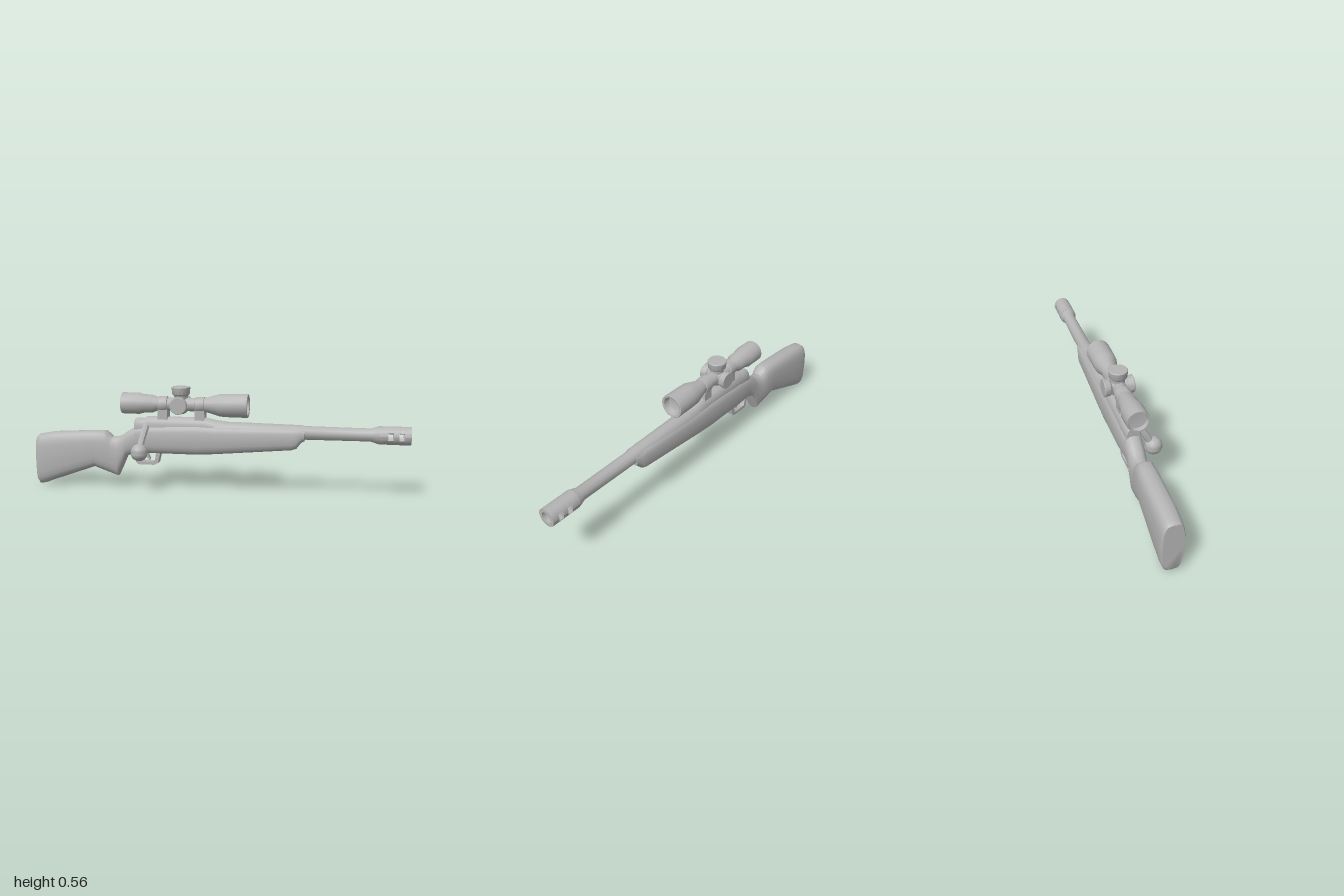
import * as THREE from 'three';
import { toCreasedNormals } from 'three/addons/utils/BufferGeometryUtils.js';

const AXIS_Z = -0.046; // centre plane of the long body

export function createModel() {
  const model = new THREE.Group();
  model.name = 'scopedRifle';
  const grey = new THREE.MeshStandardMaterial({ color: 0xb4b4b4, side: THREE.DoubleSide });
  grey.name = 'plain grey';

  function add(name, geometry, x = 0, y = 0, z = AXIS_Z, crease = 0.7) {
    const mesh = new THREE.Mesh(toCreasedNormals(geometry, crease), grey);
    mesh.name = name;
    mesh.position.set(x, y, z);
    model.add(mesh);
    return mesh;
  }

  // Skin over rounded cross-sections: [x, bottom, top, half width, squareness]
  function loft(sections, n = 20) {
    const pos = [], idx = [];
    for (const [x, lo, hi, w, k] of sections) {
      for (let i = 0; i < n; i++) {
        const a = (i / n) * Math.PI * 2, c = Math.cos(a), s = Math.sin(a);
        pos.push(x, (lo + hi) / 2 + Math.sign(s) * Math.abs(s) ** (2 / k) * (hi - lo) / 2,
          Math.sign(c) * Math.abs(c) ** (2 / k) * w);
      }
    }
    const last = (sections.length - 1) * n;
    for (let r = 0; r < last; r += n) {
      for (let i = 0; i < n; i++) {
        const j = (i + 1) % n;
        idx.push(r + i, r + n + i, r + j, r + j, r + n + i, r + n + j);
      }
    }
    for (let i = 1; i < n - 1; i++) idx.push(0, i, i + 1, last, last + i + 1, last + i);
    const g = new THREE.BufferGeometry();
    g.setAttribute('position', new THREE.Float32BufferAttribute(pos, 3));
    g.setIndex(idx);
    return g;
  }

  // Turned part along x from [x, radius] pairs
  const turned = (profile, sides = 14) => new THREE.LatheGeometry(
    profile.map(([x, r]) => new THREE.Vector2(r, x)), sides).rotateZ(-Math.PI / 2);

  // Butt, grip, wrist
  add('buttStock', loft([
    [-1, 0.02, 0.275, 0.05, 3.2],
    [-0.99, 0.006, 0.283, 0.055, 3.2],
    [-0.965, 0.008, 0.288, 0.057, 3.2],
    [-0.9, 0.032, 0.3, 0.058, 3.2],
    [-0.67, 0.114, 0.313, 0.055, 3],
    [-0.61, 0.092, 0.315, 0.053, 3],
    [-0.59, 0.084, 0.3, 0.05, 2.8],
    [-0.57, 0.076, 0.282, 0.048, 2.6],
    [-0.54, 0.066, 0.284, 0.046, 2.6],
    [-0.515, 0.12, 0.293, 0.045, 2.6],
    [-0.49, 0.178, 0.31, 0.045, 2.6],
    [-0.44, 0.198, 0.342, 0.047, 2.6],
    [-0.4, 0.2, 0.35, 0.05, 2.8],
  ]));

  // Fore-end
  add('foreStock', loft([
    [-0.44, 0.199, 0.345, 0.047, 2.8],
    [-0.35, 0.2, 0.36, 0.055, 3],
    [-0.1, 0.2, 0.37, 0.056, 3],
    [0, 0.207, 0.365, 0.055, 3],
    [0.4, 0.243, 0.365, 0.05, 3],
    [0.425, 0.252, 0.363, 0.047, 3],
    [0.45, 0.285, 0.36, 0.042, 2.8],
    [0.465, 0.292, 0.36, 0.04, 2.6],
  ]));

  // Receiver with bolt shroud step at the rear
  add('receiver', loft([
    [-0.442, 0.28, 0.382, 0.034, 2.4],
    [-0.43, 0.28, 0.39, 0.038, 2.4],
    [-0.395, 0.28, 0.388, 0.039, 2.4],
    [-0.37, 0.28, 0.4, 0.042, 2.4],
    [-0.06, 0.28, 0.4, 0.043, 2.4],
    [0, 0.28, 0.388, 0.043, 2.2],
    [0.06, 0.29, 0.382, 0.042, 2],
  ]));

  // Barrel
  add('barrel', turned([[-0.05, 0.046], [0.1, 0.046], [0.45, 0.04], [0.47, 0.036],
    [0.8, 0.034], [0.83, 0.044], [0.845, 0.047], [0.845, 0]], 12), 0, 0.335);

  // Muzzle brake: full rings between the ports, two arcs across each port
  function arc(name, x0, x1, from, to) {
    const s = new THREE.Shape(), steps = 10, R = 0.047, r = 0.029;
    const at = (rad, i) => {
      const a = from + (to - from) * i / steps;
      return new THREE.Vector2(rad * Math.cos(a), rad * Math.sin(a));
    };
    const pts = [];
    for (let i = 0; i <= steps; i++) pts.push(at(R, i));
    for (let i = steps; i >= 0; i--) pts.push(at(r, i));
    s.setFromPoints(pts);
    const g = new THREE.ExtrudeGeometry(s, { depth: x1 - x0, bevelEnabled: false });
    add(name, g.rotateY(Math.PI / 2), x0, 0.335);
  }
  for (const [x0, x1] of [[0.84, 0.885], [0.912, 0.94], [0.966, 1]]) {
    for (const a of [0, Math.PI]) arc('muzzleRing', x0, x1, a, a + Math.PI);
  }
  for (const [x0, x1] of [[0.885, 0.912], [0.94, 0.966]]) {
    for (const a of [0, Math.PI]) arc('muzzleBridge', x0, x1, a + 0.42, a + Math.PI - 0.42);
  }

  // Scope tube with recessed lenses
  add('scopeTube', turned([[-0.485, 0], [-0.49, 0.046], [-0.51, 0.05], [-0.51, 0.057],
    [-0.42, 0.058], [-0.39, 0.05], [-0.345, 0.048], [-0.315, 0.036], [-0.1, 0.036],
    [-0.05, 0.039], [0.02, 0.06], [0.06, 0.062], [0.168, 0.063], [0.17, 0.06],
    [0.168, 0.05], [0.14, 0.042], [0.125, 0]], 16), 0, 0.467);

  // Scope rings and mounts
  for (const x of [-0.285, -0.085]) {
    add('scopeRing', turned([[-0.026, 0.034], [-0.022, 0.042], [0.022, 0.042], [0.026, 0.034]]), x, 0.467);
    add('scopeMount', new THREE.BoxGeometry(0.052, 0.062, 0.06), x, 0.412);
  }

  // Turrets: one on top, one on each side
  const knob = () => new THREE.LatheGeometry([[0.034, 0], [0.036, 0.045], [0.046, 0.055],
    [0.05, 0.09], [0.047, 0.094], [0, 0.094]].map(p => new THREE.Vector2(...p)), 14);
  add('topTurret', knob(), -0.19, 0.467);
  for (const s of [1, -1]) {
    const side = add('sideTurret', knob().scale(0.92, 0.82, 0.92), -0.19, 0.467);
    side.rotation.x = s * Math.PI / 2;
  }
  add('turretHousing', new THREE.SphereGeometry(0.048, 14, 10), -0.19, 0.462);

  // Bolt handle and knob
  const boltPath = new THREE.CatmullRomCurve3([
    new THREE.Vector3(-0.375, 0.365, -0.03), new THREE.Vector3(-0.375, 0.335, 0.005),
    new THREE.Vector3(-0.385, 0.28, 0.04), new THREE.Vector3(-0.39, 0.23, 0.07)]);
  add('boltHandle', new THREE.TubeGeometry(boltPath, 10, 0.018, 8), 0, 0, 0);
  add('boltKnob', new THREE.SphereGeometry(0.046, 12, 9), -0.39, 0.223, 0.074);

  // Trigger guard and trigger
  const polygon = pts => pts.map(p => new THREE.Vector2(...p));
  const guard = new THREE.Shape(polygon([[-0.45, 0.21], [-0.437, 0.15], [-0.425, 0.137],
    [-0.335, 0.137], [-0.315, 0.148], [-0.3, 0.21]]));
  guard.holes.push(new THREE.Path(polygon([[-0.43, 0.205], [-0.325, 0.205],
    [-0.332, 0.162], [-0.345, 0.154], [-0.415, 0.154], [-0.422, 0.162]])));
  add('triggerGuard', new THREE.ExtrudeGeometry(guard, { depth: 0.046, bevelEnabled: false }),
    0, 0, AXIS_Z - 0.023);
  const trigger = new THREE.Shape(polygon([[-0.395, 0.21], [-0.385, 0.18], [-0.365, 0.16],
    [-0.36, 0.168], [-0.37, 0.185], [-0.37, 0.21]]));
  add('trigger', new THREE.ExtrudeGeometry(trigger, { depth: 0.02, bevelEnabled: false }),
    0, 0, AXIS_Z - 0.01);

  // Bring the outline, bolt knob included, onto the centre line
  model.updateMatrixWorld(true);
  const box = new THREE.Box3().setFromObject(model);
  const centre = box.getCenter(new THREE.Vector3());
  for (const part of model.children) {
    part.position.x -= centre.x;
    part.position.y -= box.min.y;
    part.position.z -= centre.z;
  }
  return model;
}
